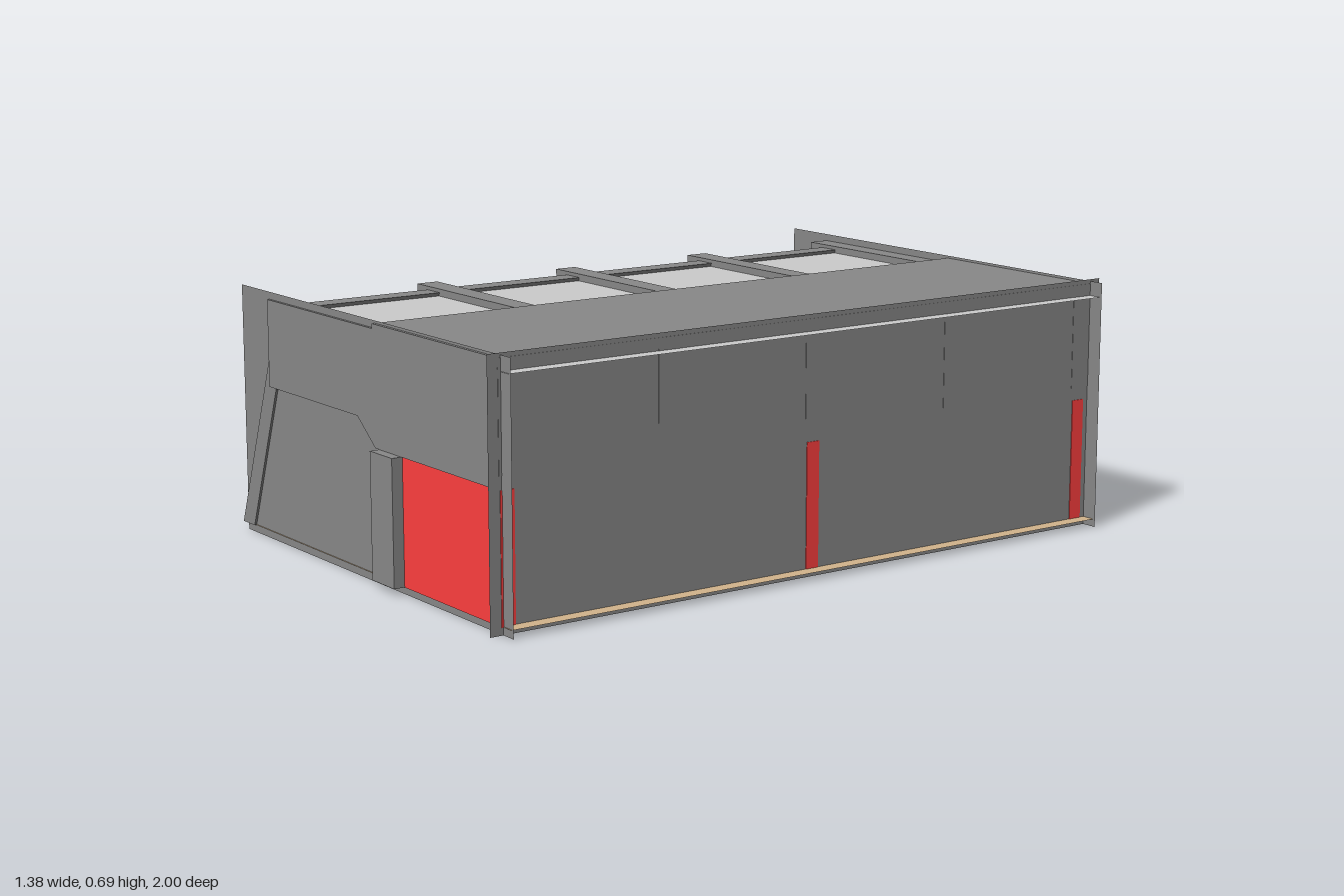
import * as THREE from 'three';

const mat = (color) => new THREE.MeshStandardMaterial({ color, side: THREE.DoubleSide });
const wallMat = mat(0x888888);
const paleMat = mat(0xcccccc);
const redMat = mat(0xff3f3f);
const tanMat = mat(0xd2b48c);

export function createModel() {
  const model = new THREE.Group();

  const add = (name, geometry, material) => {
    const mesh = new THREE.Mesh(geometry, material);
    mesh.name = name;
    model.add(mesh);
    return mesh;
  };
  // Box given by its minimum and maximum corners
  const box = (name, material, [x0, y0, z0], [x1, y1, z1]) =>
    add(name, new THREE.BoxGeometry(x1 - x0, y1 - y0, z1 - z0), material)
      .position.set((x0 + x1) / 2, (y0 + y1) / 2, (z0 + z1) / 2);
  // Profile in x and y, extruded from z0 to z1
  const slab = (name, points, z0, z1) => {
    const shape = new THREE.Shape(points.map(([x, y]) => new THREE.Vector2(x, y)));
    const geometry = new THREE.ExtrudeGeometry(shape, { depth: z1 - z0, bevelEnabled: false });
    add(name, geometry, wallMat).position.z = z0;
  };
  // Horizontal sheet
  const sheet = (name, material, x0, x1, y, halfDepth) => {
    const geometry = new THREE.PlaneGeometry(x1 - x0, 2 * halfDepth).rotateX(-Math.PI / 2);
    add(name, geometry, material).position.set((x0 + x1) / 2, y, 0);
  };

  // Floor and ceiling sheets run a little past the side wall
  sheet('floor', tanMat, -0.67, 0.685, 0.022, 0.965);
  sheet('ceiling', paleMat, -0.44, 0.685, 0.65, 0.965);

  // Upright side wall, crossing the end walls at the corners
  add('sideWall', new THREE.PlaneGeometry(2, 0.695).rotateY(Math.PI / 2), wallMat)
    .position.set(0.644, 0.3475, 0);

  // End walls
  for (const [name, z, turn] of [['frontWall', 0.962, 0], ['backWall', -0.966, Math.PI]]) {
    add(name, new THREE.PlaneGeometry(1.365, 0.69).rotateY(turn), wallMat)
      .position.set(0.0075, 0.345, z);
  }

  // Leaning wall
  slab('slopedWall', [[-0.695, 0.02], [-0.63, 0.02], [-0.396, 0.66], [-0.46, 0.66]], -0.97, 0.968);

  // Roof beams, deeper over the partitions
  const beam = [
    [-0.515, 0.43], [-0.035, 0.43], [0.055, 0.36], [0.62, 0.36], [0.62, 0.395],
    [0.645, 0.395], [0.645, 0.67], [-0.515, 0.67],
  ];
  const beamSpans = [[-0.971, -0.905], [-0.5, -0.435], [-0.03, 0.035], [0.435, 0.5], [0.91, 0.97]];
  beamSpans.forEach(([z0, z1]) => slab('roofBeam', beam, z0, z1));

  // Solid half of the roof
  box('roofSlab', wallMat, [0.05, 0.655, -0.974], [0.645, 0.683, 0.971]);

  // Partitions and their end posts
  for (const z of [0.947, 0.01, -0.93]) {
    box('partition', redMat, [0.185, 0.02, z - 0.02], [0.646, 0.36, z + 0.02]);
  }
  for (const [z0, z1] of [[0.925, 0.998], [-0.02, 0.04], [-0.99, -0.905]]) {
    box('partitionPost', wallMat, [0.075, 0.02, z0], [0.185, 0.36, z1]);
  }

  return model;
}
